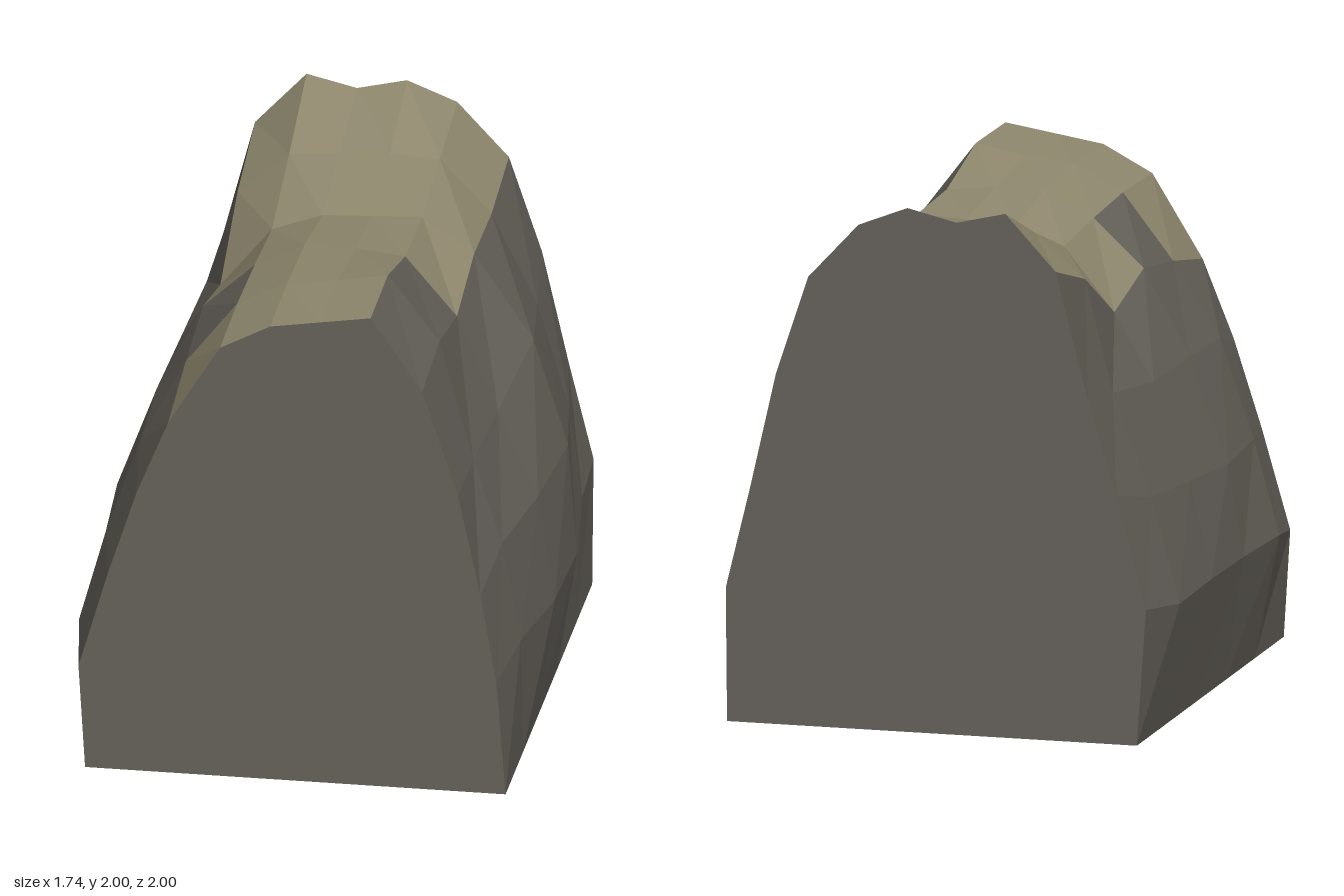
import * as THREE from 'three';

const rock = new THREE.MeshStandardMaterial({ color: 0x66625b, side: THREE.DoubleSide, flatShading: true });
rock.name = 'greyRock';
const earth = new THREE.MeshStandardMaterial({ color: 0x8f886e, side: THREE.DoubleSide, flatShading: true });
earth.name = 'khakiEarth';

// Cross-sections run from the front (z = 1) to the back (z = -1)
const Z = [1, 0.6, 0.2, -0.2, -0.6, -1];

// Flank points [x, y] of each section, from low to high
const leftFlank = [
  [[0.76, 0.45], [0.70, 0.80], [0.615, 1.2]],
  [[0.80, 0.49], [0.73, 0.88], [0.62, 1.21]],
  [[0.855, 0.465], [0.79, 0.88], [0.64, 1.22]],
  [[0.865, 0.465], [0.83, 0.90], [0.70, 1.32]],
  [[0.81, 0.49], [0.76, 0.86], [0.64, 1.27]],
  [[0.80, 0.51], [0.705, 0.90], [0.605, 1.34]],
];
const rightFlank = [
  [[-0.82, 0.41], [-0.71, 0.79], [-0.60, 1.13]],
  [[-0.87, 0.46], [-0.77, 0.82], [-0.64, 1.20]],
  [[-0.86, 0.47], [-0.80, 0.82], [-0.65, 1.22]],
  [[-0.865, 0.48], [-0.78, 0.85], [-0.64, 1.22]],
  [[-0.87, 0.48], [-0.76, 0.88], [-0.61, 1.27]],
  [[-0.83, 0.52], [-0.715, 0.95], [-0.605, 1.31]],
];

// Heights of the crest at fixed x positions
const crestX = [0.48, 0.285, 0.095, -0.095, -0.285, -0.48];
const crestY = [
  [1.615, 1.90, 1.87, 1.84, 1.74, 1.425],
  [1.65, 1.905, 1.87, 1.85, 1.75, 1.50],
  [1.58, 1.81, 1.83, 1.83, 1.735, 1.555],
  [1.665, 1.80, 1.79, 1.78, 1.71, 1.47],
  [1.655, 1.865, 1.87, 1.86, 1.846, 1.68],
  [1.715, 1.925, 2.0, 1.955, 2.0, 1.79],
];

// One arch, counter-clockwise from the left foot to the right foot
function arch(k) {
  // flank points of the inner sections spread a little towards the ends
  const inner = k > 0 && k < 5;
  const flankZ = inner ? Z[k] * 1.13 : Z[k];
  return [
    [0.795, 0, Z[k]],
    ...leftFlank[k].map(([x, y]) => [x, y, flankZ]),
    ...crestX.map((x, i) => [x, crestY[k][i], Z[k]]),
    ...[...rightFlank[k]].reverse().map(([x, y]) => [x, y, flankZ]),
    [-0.795, 0, Z[k]],
  ];
}

// Earth covers the crest except for three bare shoulder faces
function isEarth(k, i) {
  if (i === 4) return k >= 2;
  if (i === 8) return k !== 1;
  return i > 4 && i < 8;
}

function surface(name, points, material) {
  const geo = new THREE.BufferGeometry();
  geo.setAttribute('position', new THREE.Float32BufferAttribute(points, 3));
  geo.computeVertexNormals();
  const mesh = new THREE.Mesh(geo, material);
  mesh.name = name;
  return mesh;
}

export function createModel() {
  const group = new THREE.Group();
  group.name = 'rockRidge';
  const arches = Z.map((_, k) => arch(k));

  // Faceted skin, split into rocky flanks and earthy crest
  const rockPoints = [], earthPoints = [];
  for (let k = 0; k < 5; k++) {
    for (let i = 0; i < arches[k].length - 1; i++) {
      const a = arches[k][i], b = arches[k + 1][i];
      const c = arches[k + 1][i + 1], d = arches[k][i + 1];
      (isEarth(k, i) ? earthPoints : rockPoints).push(...[a, b, c, a, c, d].flat());
    }
  }
  group.add(surface('rockFlanks', rockPoints, rock));
  group.add(surface('earthCrest', earthPoints, earth));

  // Flat end walls; the underside stays open
  for (const [name, k, dir] of [['frontWall', 0, 1], ['backWall', 5, -1]]) {
    const outline = arches[k].map(([x, y]) => new THREE.Vector2(x * dir, y));
    const geo = new THREE.ShapeGeometry(new THREE.Shape(outline));
    if (dir < 0) geo.rotateY(Math.PI);
    geo.translate(0, 0, Z[k]);
    const wall = new THREE.Mesh(geo, rock);
    wall.name = name;
    group.add(wall);
  }
  return group;
}
